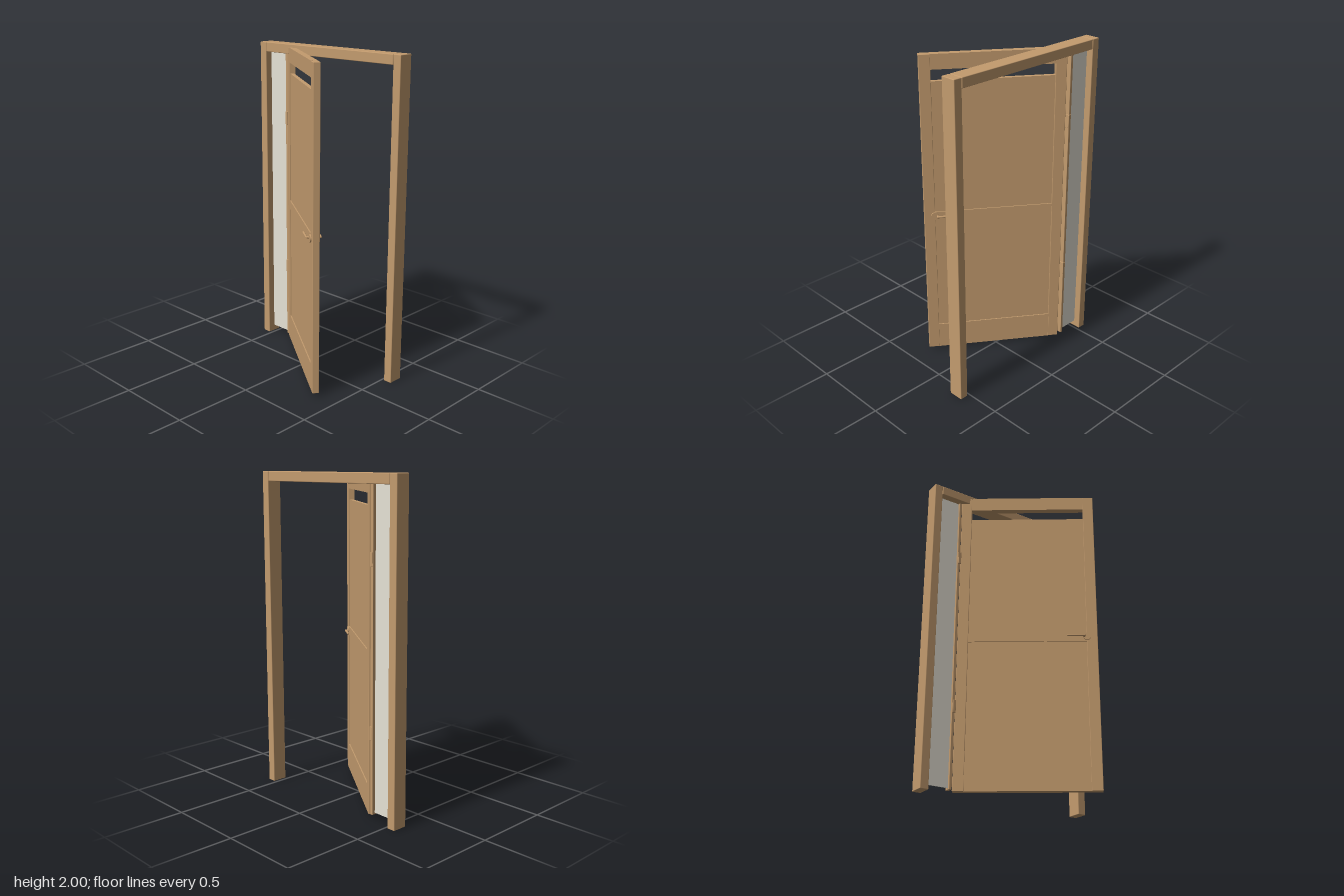
import * as THREE from 'three';
import { RoundedBoxGeometry } from 'three/addons/geometries/RoundedBoxGeometry.js';

const wood = new THREE.MeshStandardMaterial({ name: 'wood', color: 0xc39b6e });
const glass = new THREE.MeshStandardMaterial({ name: 'frosted glass', color: 0xe6e2d5 });

// Box given by its extents, with slightly eased edges when r > 0
function slab(parent, name, [x0, x1], [y0, y1], [z0, z1], r = 0, material = wood) {
  const size = [x1 - x0, y1 - y0, z1 - z0];
  const geometry = r ? new RoundedBoxGeometry(...size, 2, r) : new THREE.BoxGeometry(...size);
  const mesh = new THREE.Mesh(geometry, material);
  mesh.name = name;
  mesh.position.set((x0 + x1) / 2, (y0 + y1) / 2, (z0 + z1) / 2);
  parent.add(mesh);
  return mesh;
}

// Round bar lying along local z
function disc(parent, name, radius, depth, x, y, z) {
  const geometry = new THREE.CylinderGeometry(radius, radius, depth, 24).rotateX(Math.PI / 2);
  const mesh = new THREE.Mesh(geometry, wood);
  mesh.name = name;
  mesh.position.set(x, y, z);
  parent.add(mesh);
}

function createFrame() {
  const frame = new THREE.Group();
  frame.name = 'frame';
  const depth = [-0.28, -0.185];
  slab(frame, 'rightPost', [-0.57, -0.517], [0, 2], depth, 0.004);
  slab(frame, 'leftPost', [0.517, 0.57], [0, 2], depth, 0.004);
  slab(frame, 'lintel', [-0.515, 0.515], [1.94, 2], depth, 0.004);
  // Fixed side light and the slim mullion carrying the door
  slab(frame, 'sideGlass', [-0.518, -0.37], [0.04, 1.941], [-0.237, -0.231], 0, glass);
  slab(frame, 'mullion', [-0.372, -0.354], [0.03, 1.941], [-0.257, -0.216], 0.002);
  for (const y of [0.527, 1.53]) {
    slab(frame, 'hinge', [-0.369, -0.35], [y - 0.041, y + 0.041], [-0.26, -0.209], 0.002);
  }
  return frame;
}

function createDoor() {
  const door = new THREE.Group();
  door.name = 'door';
  const width = 0.855, thick = 0.041;
  const stileA = 0.066, stileB = width - 0.067;
  const full = [-thick, 0], inset = [-thick + 0.001, -0.001];
  // Stiles and rails
  slab(door, 'hingeStile', [0, stileA], [0.02, 1.98], full, 0.003);
  slab(door, 'lockStile', [stileB, width], [0.02, 1.98], full, 0.003);
  const inner = [stileA - 0.002, stileB + 0.002];
  slab(door, 'topRail', inner, [1.89, 1.98], inset);
  slab(door, 'middleRail', inner, [0.945, 1.0], inset);
  slab(door, 'bottomRail', inner, [0.02, 0.19], inset);
  // Recessed panels, leaving an open slot under the top rail
  for (const span of [[0.188, 0.947], [0.998, 1.82]]) {
    slab(door, 'panel', inner, span, [-thick + 0.008, -0.008]);
  }
  // A lever handle on each face
  for (const side of [1, -1]) {
    const handle = new THREE.Group();
    handle.name = side > 0 ? 'frontHandle' : 'backHandle';
    handle.position.set(0.791, 0.975, -thick / 2);
    const face = side * thick / 2;
    disc(handle, 'rosette', 0.024, 0.008, 0, 0, face + side * 0.004);
    disc(handle, 'neck', 0.007, 0.022, -0.018, 0, face + side * 0.011);
    const z = face + side * 0.021;
    slab(handle, 'lever', [-0.123, -0.01], [-0.006, 0.006], [z - 0.006, z + 0.006], 0.004);
    door.add(handle);
  }
  // Swung open about its hinge edge
  door.position.set(-0.355, 0, -0.215);
  door.rotation.y = -THREE.MathUtils.degToRad(35);
  return door;
}

export function createModel() {
  const model = new THREE.Group();
  model.name = 'openDoor';
  model.add(createFrame(), createDoor());
  return model;
}
